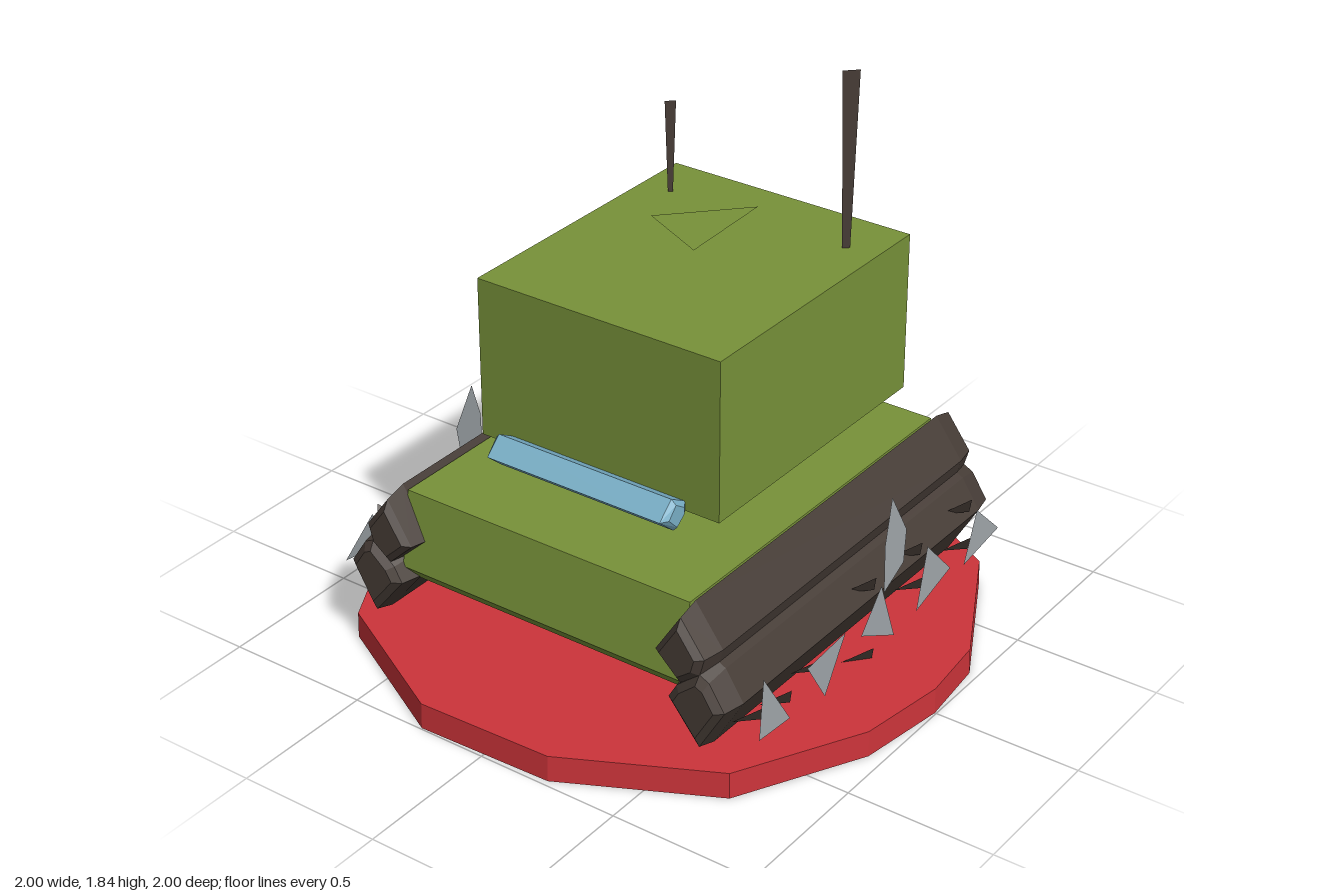
import * as THREE from 'three';
import { ConvexGeometry } from 'three/addons/geometries/ConvexGeometry.js';

export function createModel() {
  const group = new THREE.Group();
  const material = (name, color, side = THREE.FrontSide) => {
    const m = new THREE.MeshStandardMaterial({ color, side, flatShading: true });
    m.name = name;
    return m;
  };
  const green = material('olive green', 0x789239, THREE.DoubleSide);
  const red = material('red', 0xcc343a);
  const dark = material('dark brown', 0x463c36, THREE.DoubleSide);
  const blue = material('visor blue', 0x7ab0c8);
  const grey = material('steel grey', 0x9aa0a4, THREE.DoubleSide);

  const add = (parent, name, geometry, mat) => {
    const mesh = new THREE.Mesh(geometry, mat);
    mesh.name = name;
    parent.add(mesh);
    return mesh;
  };
  const V = (x, y, z) => new THREE.Vector3(x, y, z);
  const solid = (points) => new ConvexGeometry(points);
  // Flat plate as a fan around its first corner
  const plate = (corners) => {
    const pts = [];
    for (let i = 1; i < corners.length - 1; i++) pts.push(corners[0], corners[i], corners[i + 1]);
    const g = new THREE.BufferGeometry().setFromPoints(pts.map((p) => V(...p)));
    g.computeVertexNormals();
    return g;
  };

  // Irregular many-sided base disc
  const rim = [[-0.24, -0.98], [0, -1], [0.3, -0.96], [0.73, -0.71], [0.97, -0.25], [0.995, 0],
    [0.95, 0.31], [0.73, 0.73], [0.24, 0.98], [-0.24, 0.995], [-0.73, 0.73], [-1, 0.23], [-1, -0.22], [-0.71, -0.73]];
  add(group, 'base', solid(rim.flatMap(([x, z]) => [V(x, 0, z), V(x * 0.998, 0.09, z * 0.998)])), red);

  // Hull with sloped front and back
  const hullProfile = [[0.67, 0.59], [0.71, 0.33], [0.67, 0.28]];
  const hullPoints = [];
  for (const x of [-0.54, 0.54]) {
    for (const s of [-1, 1]) for (const [z, y] of hullProfile) hullPoints.push(V(x, y, z * s));
  }
  add(group, 'hull', solid(hullPoints), green);

  // Turret block
  add(group, 'turret', new THREE.BoxGeometry(0.91, 0.55, 1.035), green).position.set(-0.005, 0.965, -0.122);
  add(group, 'roofMarker', plate([[0.06, 1.335, -0.36], [-0.18, 1.33, -0.12], [0.07, 1.33, 0]]), green);

  // Diamond-section visor with tapered ends
  const visorProfile = [[0.52, 0.705], [0.46, 0.76], [0.39, 0.72], [0.39, 0.685], [0.45, 0.645]];
  const visorPoints = [];
  for (const s of [-1, 1]) {
    for (const [z, y] of visorProfile) {
      visorPoints.push(V(s * 0.33 - 0.01, y, z));
      visorPoints.push(V(s * 0.345 - 0.01, 0.7 + (y - 0.7) * 0.7, 0.45 + (z - 0.45) * 0.6));
    }
  }
  add(group, 'visor', solid(visorPoints), blue);

  // Thin vent slats behind the turret
  for (const y of [0.98, 0.885, 0.79]) {
    add(group, 'ventSlat', new THREE.BoxGeometry(0.63, 0.005, 0.03), dark).position.set(-0.01, y, -0.692);
  }

  // Flat antennas that widen towards the top
  const antenna = (x, z, top, w) => add(group, 'antenna', plate([
    [x - w * 0.45, 1.24, z + w * 0.45], [x + w * 0.45, 1.24, z - w * 0.45],
    [x + w, top, z - w], [x - w, top, z + w]]), dark);
  antenna(0.34, -0.44, 1.84, 0.02);
  antenna(-0.345, -0.45, 1.56, 0.013);

  // Each track is two long lobes with bevelled ends
  const lobes = [
    [[0.56, 0.605], [0.66, 0.47], [0.64, 0.40], [0.56, 0.34], [0.455, 0.44]],
    [[0.63, 0.43], [0.67, 0.41], [0.735, 0.31], [0.63, 0.13], [0.5, 0.29], [0.535, 0.35]],
  ];
  const trackSections = [[0.765, 0.62], [0.745, 0.86], [0.67, 1]];
  // Outline of each steel shard as [z, y]
  const shards = [
    [[0.63, 0.39], [0.68, 0.21], [0.52, 0.2]],
    [[0.41, 0.31], [0.2, 0.325], [0.33, 0.17]],
    [[0.12, 0.27], [-0.01, 0.38], [-0.06, 0.18]],
    [[-0.105, 0.64], [-0.17, 0.5], [-0.14, 0.4], [-0.02, 0.35], [-0.045, 0.5]],
    [[-0.28, 0.385], [-0.4, 0.25], [-0.19, 0.2]],
    [[-0.58, 0.37], [-0.7, 0.25], [-0.48, 0.22]],
  ];
  // Dark barbs between the shards, as [z, y] of the tip
  const barbs = [[0.6, 0.27], [0.46, 0.25], [0.29, 0.27], [0, 0.15], [0, 0.41], [-0.27, 0.4], [-0.3, 0.26], [-0.57, 0.41], [-0.59, 0.26]];

  for (const side of [1, -1]) {
    const track = new THREE.Group();
    track.name = side > 0 ? 'leftTrack' : 'rightTrack';
    track.rotation.y = side > 0 ? 0 : Math.PI;
    group.add(track);
    lobes.forEach((lobe, i) => {
      const cx = i ? 0.62 : 0.56, cy = i ? 0.3 : 0.46;
      const pts = [];
      for (const s of [-1, 1]) {
        for (const [z, k] of trackSections) {
          for (const [x, y] of lobe) pts.push(V(cx + (x - cx) * k, cy + (y - cy) * k, z * s));
        }
      }
      add(track, i ? 'lowerTread' : 'upperTread', solid(pts), dark);
    });
    for (const outline of shards) {
      add(track, 'steelShard', plate(outline.map(([z, y]) => [0.8 - Math.max(0, y - 0.2) * 0.12, y, z])), grey);
    }
    for (const [z, y] of barbs) {
      add(track, 'barb', plate([[0.765, y, z], [0.68, y - 0.06, z + 0.05], [0.74, y - 0.07, z - 0.03]]), dark);
    }
  }
  return group;
}
